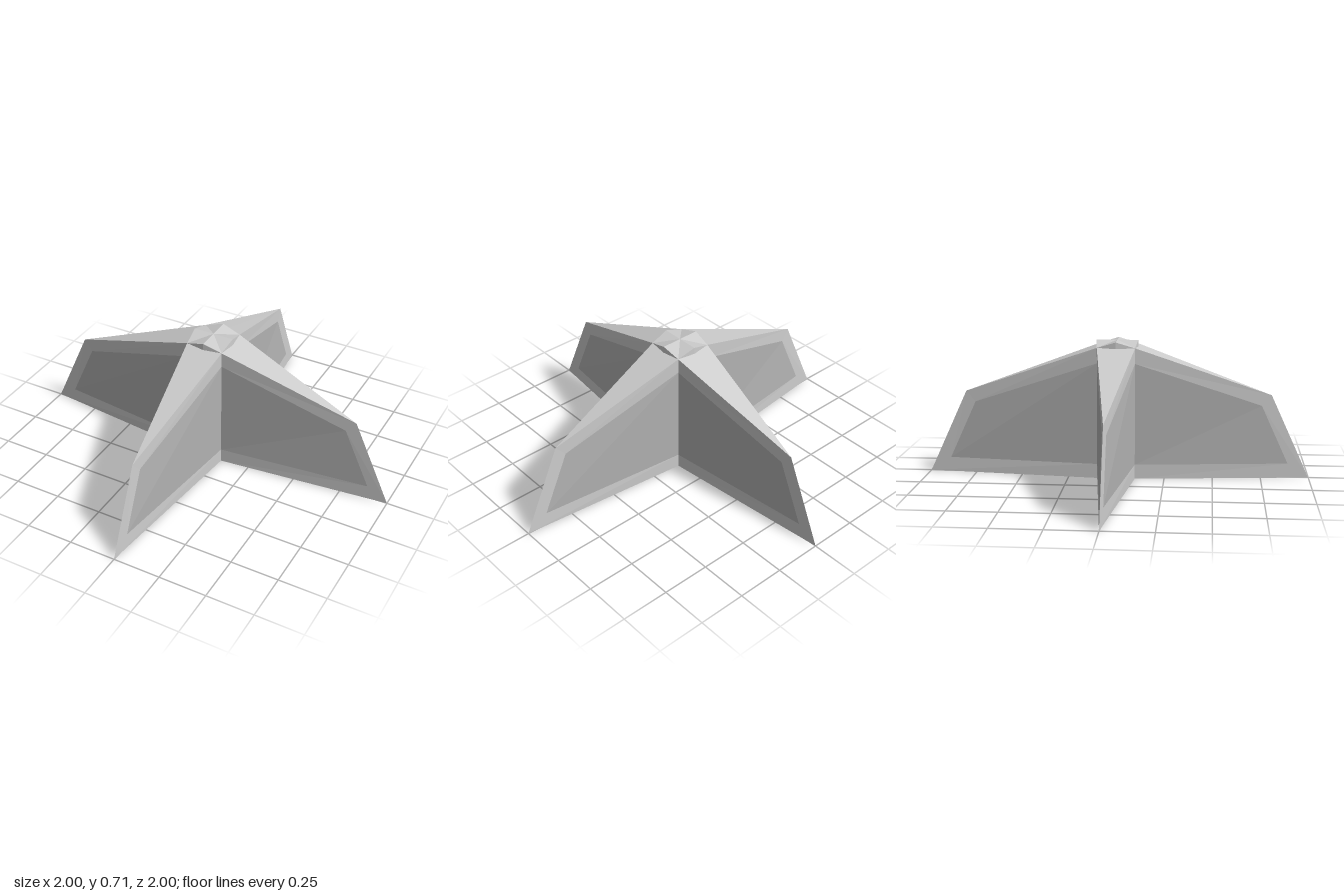
import * as THREE from 'three';

const frameMaterial = new THREE.MeshStandardMaterial({ color: 0xcccccc, flatShading: true });
const panelMaterial = new THREE.MeshStandardMaterial({ color: 0xb2b2b2, flatShading: true });

// Fans each polygon (counter-clockwise from outside) into triangles
function polyMesh(name, polygons, material) {
  const positions = [];
  for (const p of polygons) {
    for (let i = 1; i < p.length - 1; i++) positions.push(...p[0], ...p[i], ...p[i + 1]);
  }
  const geometry = new THREE.BufferGeometry();
  geometry.setAttribute('position', new THREE.Float32BufferAttribute(positions, 3));
  geometry.computeVertexNormals();
  const mesh = new THREE.Mesh(geometry, material);
  mesh.name = name;
  return mesh;
}

// Mirrors polygons across the arm's centre plane and keeps them facing outward
const mirrorZ = (polygons) =>
  polygons.map((p) => p.map(([x, y, z]) => [x, y, -z]).reverse());
const bothSides = (polygons) => [...polygons, ...mirrorZ(polygons)];

const W = 0.098; // half width of the centre
const EAVE = 0.685; // height of the inner corners
const TOP = 0.715; // height of the cap
const TIP = [1, 0, 0];
const SHOULDER = [0.8, 0.435, 0];

// Point on the tapering, slightly twisted arm wall
function onWall(x, y) {
  const endX = 1 - (0.2 * y) / SHOULDER[1];
  return [x, y, (W * (endX - x)) / (endX - W)];
}

// One arm pointing along +x, with its quarter of the cap and floor
function createArm() {
  const arm = new THREE.Group();
  const outer = [[W, 0, W], TIP, SHOULDER, [W, EAVE, W]];
  const inner = [onWall(W, 0.075), onWall(0.89, 0.075), onWall(0.75, 0.38), onWall(W, 0.605)];

  // Wall border runs along the foot, the outer end and the eave
  const border = [];
  for (let i = 0; i < 3; i++) border.push([outer[i], outer[i + 1], inner[i + 1], inner[i]]);
  arm.add(polyMesh('wallBorder', bothSides(border), frameMaterial));
  arm.add(polyMesh('wallPanel', bothSides([inner]), panelMaterial));

  // Sloping roof, small step up to the cap, and the cap itself
  const corner = outer[3];
  const stepFoot = [0.11, 0.681, 0];
  const stepTop = [0.108, TOP, 0];
  const centre = [0, TOP, 0];
  arm.add(polyMesh('roof', bothSides([[corner, SHOULDER, stepFoot]]), frameMaterial));
  arm.add(polyMesh('capStep', bothSides([[corner, stepFoot, stepTop]]), frameMaterial));
  arm.add(polyMesh('cap', bothSides([[centre, corner, stepTop]]), frameMaterial));

  // Underside
  arm.add(polyMesh('floor', bothSides([[[0, 0, 0], TIP, outer[0]]]), frameMaterial));
  return arm;
}

export function createModel() {
  const model = new THREE.Group();
  model.name = 'fourPointedStar';
  ['leftArm', 'backArm', 'rightArm', 'frontArm'].forEach((name, i) => {
    const arm = createArm();
    arm.name = name;
    arm.rotation.y = (i * Math.PI) / 2;
    model.add(arm);
  });
  return model;
}
